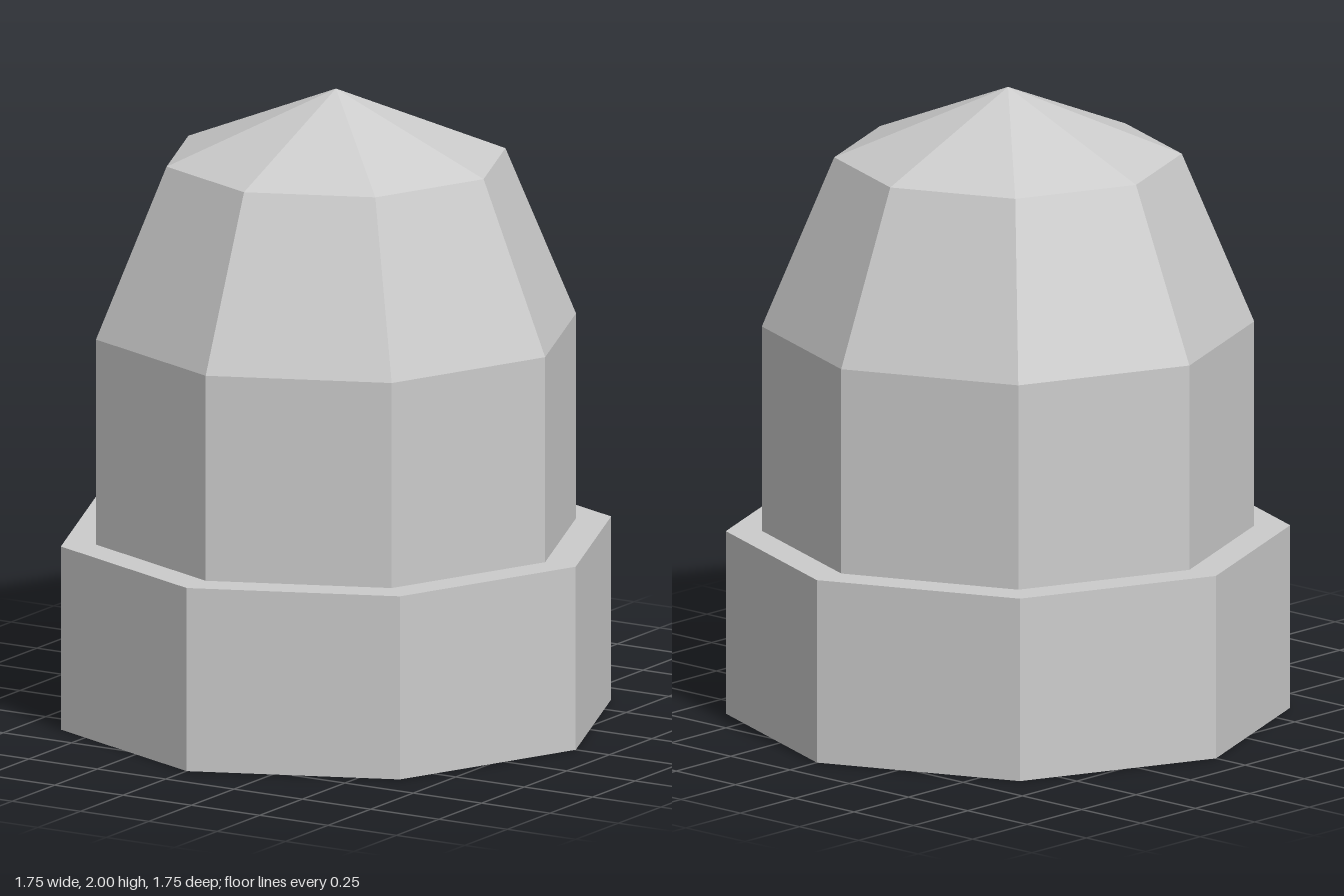
import * as THREE from 'three';

const SIDES = 8;

// One octagonal tier standing between two heights, corners on the x and z axes
function tier(name, bottomRadius, topRadius, y0, y1, material, open = true) {
  const geometry = new THREE.CylinderGeometry(topRadius, bottomRadius, y1 - y0, SIDES, 1, open);
  geometry.translate(0, (y0 + y1) / 2, 0);
  const mesh = new THREE.Mesh(geometry, material);
  mesh.name = name;
  return mesh;
}

export function createModel() {
  const material = new THREE.MeshStandardMaterial({ color: 0xcccccc, flatShading: true });
  const model = new THREE.Group();
  model.name = 'domedCap';

  // Wide closed base; its top forms the ledge around the body
  model.add(tier('base', 0.877, 0.877, 0, 0.585, material, false));

  // Straight body, tapered shoulder and shallow pointed roof
  model.add(tier('body', 0.765, 0.765, 0.585, 1.24, material));
  model.add(tier('shoulder', 0.765, 0.54, 1.24, 1.78, material));
  model.add(tier('roof', 0.54, 0, 1.78, 2, material));

  return model;
}
